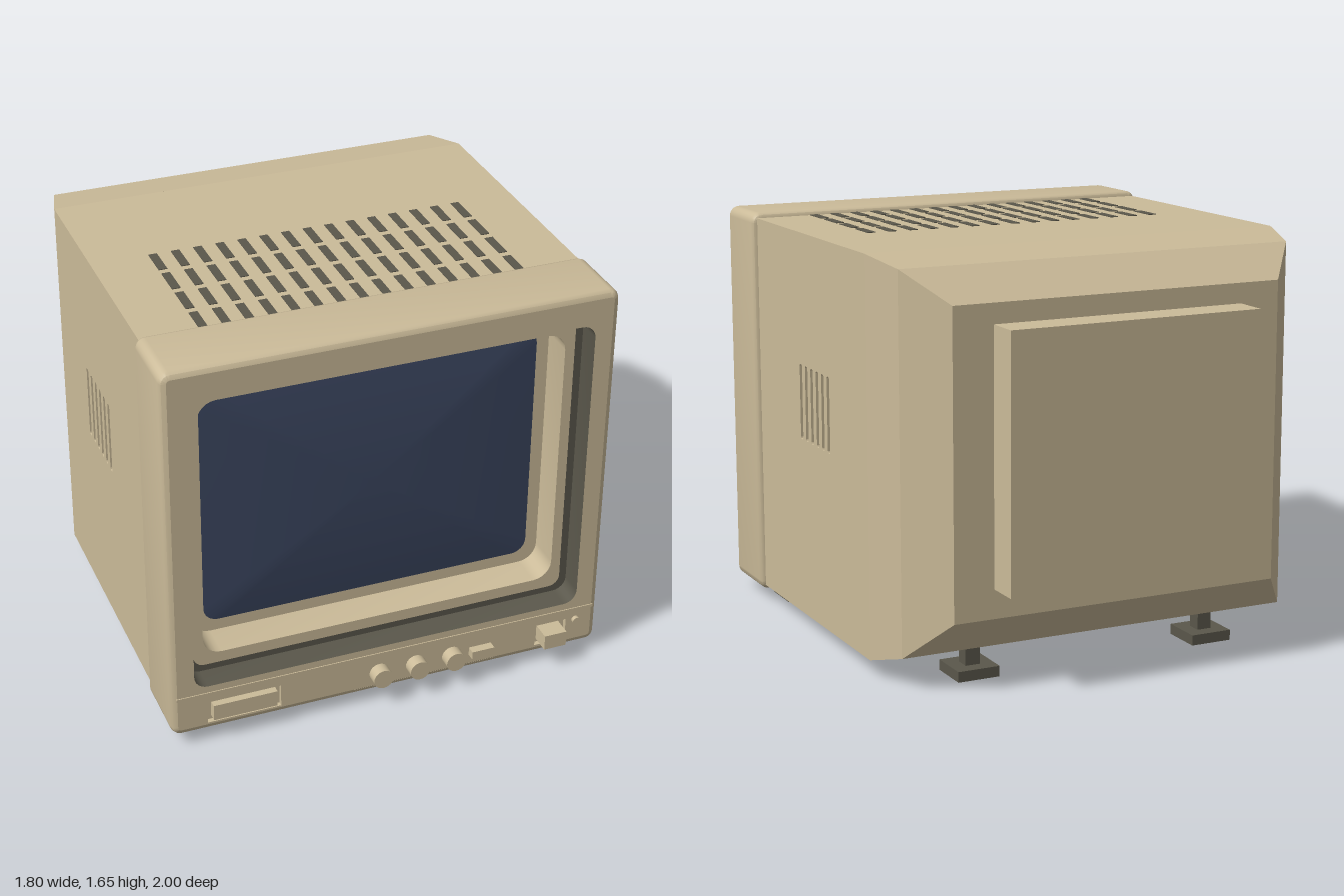
import * as THREE from 'three';
import { toCreasedNormals } from 'three/addons/utils/BufferGeometryUtils.js';

const casing = new THREE.MeshStandardMaterial({ color: 0xcbbb99 });
casing.name = 'beige casing';
const dark = new THREE.MeshStandardMaterial({ color: 0x5a574b });
dark.name = 'dark trim';
const glass = new THREE.MeshStandardMaterial({ color: 0x3b4660 });
glass.name = 'blue screen glass';

// Counter-clockwise rounded rectangle; n = 0 gives four sharp corners
function outline(x0, x1, y0, y1, r = 0, n = 0) {
  const pts = [];
  [[x1, y1], [x0, y1], [x0, y0], [x1, y0]].forEach(([x, y], q) => {
    const cx = x + (x === x1 ? -r : r) * (x0 === x1 ? 0 : 1);
    const cy = y + (y === y1 ? -r : r) * (y0 === y1 ? 0 : 1);
    for (let i = 0; i <= n; i++) {
      const a = (q + (n ? i / n : 0.5)) * Math.PI / 2;
      pts.push(new THREE.Vector2(cx + r * Math.cos(a), cy + r * Math.sin(a)));
    }
  });
  return pts;
}

// Skin over rings of [x0, x1, y0, y1, radius, z]; a zero-size ring closes an end
function loft(rings, n, crease = 0.6) {
  const pos = [];
  const loops = rings.map(([x0, x1, y0, y1, r, z]) =>
    outline(x0, x1, y0, y1, r, n).map((p) => [p.x, p.y, z]));
  for (let i = 0; i + 1 < loops.length; i++) {
    const A = loops[i], B = loops[i + 1];
    A.forEach((a, j) => {
      const k = (j + 1) % A.length;
      pos.push(...a, ...A[k], ...B[k], ...a, ...B[k], ...B[j]);
    });
  }
  const g = new THREE.BufferGeometry();
  g.setAttribute('position', new THREE.Float32BufferAttribute(pos, 3));
  return toCreasedNormals(g, crease);
}

export function createModel() {
  const model = new THREE.Group();
  model.name = 'monitor';
  const add = (name, geometry, material = casing, parent = model) => {
    const m = new THREE.Mesh(geometry, material);
    m.name = name;
    parent.add(m);
    return m;
  };
  const box = (name, x0, x1, y0, y1, z0, z1, material, parent) => {
    const m = add(name, new THREE.BoxGeometry(x1 - x0, y1 - y0, z1 - z0), material, parent);
    m.position.set((x0 + x1) / 2, (y0 + y1) / 2, (z0 + z1) / 2);
    return m;
  };
  const group = (name) => {
    const g = new THREE.Group();
    g.name = name;
    model.add(g);
    return g;
  };
  const SEG = 6, FRONT = 0.94;

  // Rear housing: straight box tapering in two steps to the back
  add('housing', loft([
    [0, 0, 0.88, 0.88, 0, -0.86],
    [-0.69, 0.69, 0.285, 1.48, 0, -0.86],
    [-0.83, 0.83, 0.125, 1.6, 0, -0.695],
    [-0.88, 0.88, 0.07, 1.635, 0, -0.5],
    [-0.86, 0.86, 0.07, 1.635, 0, -0.5],
    [-0.86, 0.86, 0.07, 1.635, 0, 0.65],
  ], 0, 0.05));
  box('rearBlock', -0.525, 0.525, 0.4, 1.4, -1, -0.85);

  // Side panels pierced by six upright vent slots
  for (const side of [1, -1]) {
    const strip = (z0, z1, y0, y1, r, n) => {
      const [a, b] = [-side * z0, -side * z1].sort((p, q) => p - q);
      return outline(a, b, y0, y1, r, n);
    };
    const shape = new THREE.Shape(strip(-0.5, 0.65, 0.07, 1.635));
    for (let i = 0; i < 6; i++) {
      const z = 0.172 - i * 0.0575;
      shape.holes.push(new THREE.Path(strip(z - 0.013, z + 0.013, 0.8, 1.105, 0.008, 2)));
    }
    const g = new THREE.ExtrudeGeometry(shape, { depth: 0.02, bevelEnabled: false });
    g.rotateY(side * Math.PI / 2).translate(side * 0.86, 0, 0);
    add(side > 0 ? 'leftSidePanel' : 'rightSidePanel', g);
  }

  // Top ventilation slots
  const vents = group('topVents');
  for (let row = 0; row < 4; row++) {
    for (let col = 0; col < 15; col++) {
      const x = (col - 7) * 0.0903, z = 0.082 + row * 0.164;
      box('topVent', x - 0.017, x + 0.017, 1.632, 1.638, z - 0.066, Math.min(z + 0.066, 0.634), dark, vents);
    }
  }

  // Front bezel rim with softened edges
  const rim = (inset, z) =>
    [-0.9 + inset, 0.9 - inset, 0.05 + inset, 1.655 - inset, 0.04 - inset, z];
  add('bezelRim', loft([
    rim(0.039, 0.635), rim(0.025, 0.635), rim(0.0075, 0.642), rim(0, 0.66),
    rim(0, 0.915), rim(0.0075, 0.933), rim(0.025, FRONT),
  ], SEG, 0.8));

  // Bezel face with the screen opening and three control pockets
  const [fx0, fx1, fy0, fy1, fr] = rim(0.025, FRONT);
  const face = new THREE.Shape(outline(fx0, fx1, fy0, fy1, fr, SEG));
  const opening = [-0.805, 0.805, 0.257, 1.525, 0.055];
  face.holes.push(new THREE.Path(outline(...opening, SEG)));
  const pockets = [
    [-0.755, -0.455, 0.083, 0.18],
    [-0.155, 0.447, 0.073, 0.192],
    [0.63, 0.765, 0.085, 0.18],
  ];
  pockets.forEach((p, i) => {
    const [x0, x1, y0, y1] = p;
    const cx = (x0 + x1) / 2, cy = (y0 + y1) / 2;
    face.holes.push(new THREE.Path(outline(...p)));
    add('controlPocket' + (i + 1), loft([
      [...p, 0, FRONT], [...p, 0, 0.92], [cx, cx, cy, cy, 0, 0.92],
    ], 0));
  });
  add('bezelFace', new THREE.ShapeGeometry(face).translate(0, 0, FRONT));
  box('chinLine', -0.88, 0.88, 0.216, 0.228, 0.93, 0.944);

  // Stepped recess around the screen
  const step = [-0.775, 0.775, 0.283, 1.5, 0.045];
  const inner = [-0.735, 0.735, 0.33, 1.453, 0.075];
  const lens = [-0.685, 0.685, 0.378, 1.405, 0.06];
  add('recessTrim', loft([[...opening, FRONT], [...opening, 0.84], [...step, 0.84]], SEG), dark);
  add('screenSurround', loft([
    [...step, 0.84], [...inner, 0.84], [...inner, 0.7], [...lens, 0.7],
  ], SEG));

  // Gently domed screen
  const dome = [1, 0.85, 0.7, 0.5, 0.25, 0].map((s) => [
    -0.685 * s, 0.685 * s, 0.8915 - 0.5135 * s, 0.8915 + 0.5135 * s, 0.06 * s,
    0.7 + 0.035 * (1 - s * s),
  ]);
  add('screen', loft(dome, SEG), glass);

  // Front controls
  const controls = group('controls');
  box('doorFlap', -0.735, -0.475, 0.1, 0.168, 0.915, 0.955, casing, controls);
  box('doorGap', -0.735, -0.475, 0.17, 0.18, 0.915, 0.923, dark, controls);
  const knob = (name, x, y, r, z1) => {
    const g = new THREE.CylinderGeometry(r, r, z1 - 0.915, 24).rotateX(Math.PI / 2);
    add(name, g, casing, controls).position.set(x, y, (z1 + 0.915) / 2);
  };
  for (const x of [-0.045, 0.11, 0.265]) knob('knob', x, 0.132, 0.041, 0.99);
  box('slider', 0.34, 0.435, 0.115, 0.15, 0.915, 0.975, casing, controls);
  box('powerButton', 0.645, 0.74, 0.1, 0.165, 0.915, 1, casing, controls);
  knob('indicatorLamp', 0.806, 0.17, 0.016, 0.957);

  // Feet: wide-set in front, closer together at the back
  for (const side of [1, -1]) {
    for (const [x, z, top] of [[0.715, 0.663, 0.06], [0.515, -0.617, 0.12]]) {
      const cx = side * x;
      box('foot', cx - 0.087, cx + 0.087, 0, 0.042, z - 0.087, z + 0.087, dark);
      box('footStem', cx - 0.03, cx + 0.03, 0.04, top, z - 0.03, z + 0.03, dark);
    }
  }
  return model;
}
